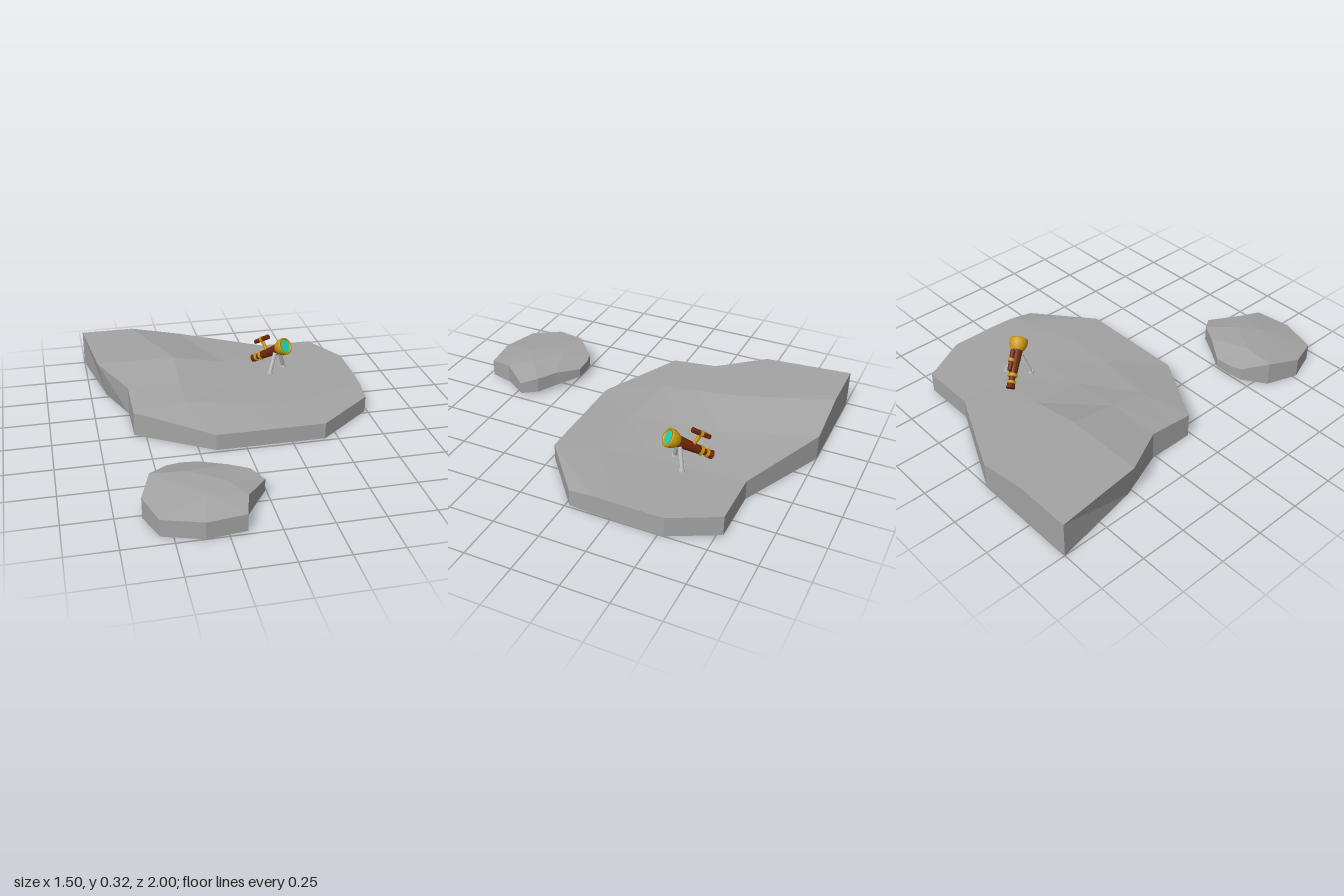
import * as THREE from 'three';

const mat = (name, color) => {
  const m = new THREE.MeshStandardMaterial({ color });
  m.name = name;
  return m;
};

// Flat-faced mesh from a list of triangles, each three [x, y, z] corners
function facetMesh(name, tris, material) {
  const geo = new THREE.BufferGeometry();
  geo.setAttribute('position', new THREE.Float32BufferAttribute(tris.flat(2), 3));
  geo.computeVertexNormals();
  const mesh = new THREE.Mesh(geo, material);
  mesh.name = name;
  return mesh;
}

// Side walls and underside below a top outline (clockwise from above)
function wallsAndBase(top, base, centre) {
  const tris = [];
  top.forEach((a, i) => {
    const j = (i + 1) % top.length;
    tris.push([a, top[j], base[i]], [top[j], base[j], base[i]], [base[i], base[j], centre]);
  });
  return tris;
}

function largeRock(material) {
  // Rows of the sloping top, back to front, left column to right column
  const rows = [
    [[-0.75, 0.2, -1], [-0.45, 0.2, -1], [-0.16, 0.14, -1], [0.32, 0.11, -0.78], [0.62, 0.11, -0.78]],
    [[-0.7, 0.2, -0.53], [-0.26, 0.2, -0.53], [0.03, 0.14, -0.53], [0.33, 0.11, -0.53], [0.75, 0.11, -0.53]],
    [[-0.56, 0.16, -0.27], [-0.27, 0.16, -0.27], [0.03, 0.125, -0.27], [0.33, 0.11, -0.27], [0.75, 0.11, -0.27]],
    [[-0.56, 0.148, -0.15], [-0.27, 0.14, -0.08], [0.06, 0.115, -0.02], [0.4, 0.11, -0.02], [0.745, 0.108, -0.15]],
    [[-0.56, 0.135, -0.02], [-0.16, 0.09, 0.23], [0.13, 0.09, 0.23], [0.43, 0.09, 0.23], [0.735, 0.09, -0.02]],
  ];
  const tris = [];
  for (let r = 0; r < 4; r++) {
    for (let c = 0; c < 4; c++) {
      const a = rows[r][c], b = rows[r][c + 1], d = rows[r + 1][c], e = rows[r + 1][c + 1];
      tris.push([a, d, b], [b, d, e]);
    }
  }
  const outline = [
    ...rows[0],
    ...[1, 2, 3].map((r) => rows[r][4]),
    ...[...rows[4]].reverse(),
    ...[3, 2, 1].map((r) => rows[r][0]),
  ];
  const base = outline.map(([x, , z]) => [x === -0.7 ? -0.66 : x, 0, z]);
  tris.push(...wallsAndBase(outline, base, [0, 0, -0.35]));
  return facetMesh('largeRock', tris, material);
}

function smallRock(material) {
  const top = [
    [-0.46, 0.1, 0.49], [-0.39, 0.095, 0.47], [-0.3, 0.09, 0.47], [-0.17, 0.11, 0.56],
    [-0.07, 0.11, 0.62], [-0.015, 0.09, 0.7], [-0.13, 0.11, 0.85], [-0.16, 0.09, 0.975],
    [-0.36, 0.09, 1], [-0.56, 0.09, 0.935], [-0.62, 0.11, 0.77], [-0.56, 0.133, 0.6],
  ];
  const baseY = [0.03, 0.04, 0.04, 0.03, 0.025, 0.025, 0, 0, 0, 0, 0, 0];
  const base = top.map(([x, , z], i) => [x, baseY[i], z]);
  // Three crown points, each fanned to its stretch of the rim
  const A = [-0.39, 0.135, 0.62], B = [-0.21, 0.13, 0.73], C = [-0.32, 0.125, 0.82];
  const owner = [A, A, A, B, B, B, C, C, C, C, C, A];
  const tris = top.map((p, i) => [top[(i + 1) % 12], p, owner[i]]);
  tris.push([A, B, top[3]], [B, C, top[6]], [C, A, top[11]], [A, C, B]);
  tris.push(...wallsAndBase(top, base, [-0.35, 0, 0.75]));
  return facetMesh('smallRock', tris, material);
}

// Tapered cylinder between two points
function strut(name, from, to, rFrom, rTo, material) {
  const a = new THREE.Vector3(...from), b = new THREE.Vector3(...to);
  const dir = b.clone().sub(a);
  const mesh = new THREE.Mesh(new THREE.CylinderGeometry(rTo, rFrom, dir.length(), 12), material);
  mesh.position.copy(a).add(b).multiplyScalar(0.5);
  mesh.quaternion.setFromUnitVectors(new THREE.Vector3(0, 1, 0), dir.normalize());
  mesh.name = name;
  return mesh;
}

function telescope(wood, brass, glass) {
  const g = new THREE.Group();
  g.name = 'telescope';
  const along = (name, z0, z1, r0, r1, m, y = 0) =>
    g.add(strut(name, [0, y, z0], [0, y, z1], r0, r1, m));

  // Flared brass hood with a recessed lens
  const hood = [[0.028, -0.066], [0.04, -0.05], [0.048, -0.03], [0.05, -0.008], [0.048, 0], [0.039, 0], [0.037, -0.012]];
  const bell = new THREE.LatheGeometry(hood.map(([r, y]) => new THREE.Vector2(r, y)), 20);
  bell.rotateX(Math.PI / 2);
  const hoodMesh = new THREE.Mesh(bell, brass);
  hoodMesh.name = 'lensHood';
  g.add(hoodMesh);
  along('lens', -0.014, -0.008, 0.038, 0.038, glass);

  // Main barrel, bands and eyepiece
  along('barrel', -0.2, -0.055, 0.022, 0.031, wood);
  along('rearBand', -0.212, -0.196, 0.026, 0.026, brass);
  along('drawTube', -0.24, -0.21, 0.017, 0.017, wood);
  along('eyepieceBand', -0.25, -0.236, 0.023, 0.023, brass);
  along('eyepiece', -0.275, -0.25, 0.024, 0.02, wood);

  // Finder scope on its post
  g.add(strut('finderPost', [0, 0.015, -0.15], [0, 0.085, -0.15], 0.01, 0.01, brass));
  along('finder', -0.205, -0.095, 0.012, 0.014, wood, 0.086);
  along('finderBand', -0.158, -0.142, 0.017, 0.017, brass, 0.086);

  g.position.set(0.365, 0.28, -0.375);
  g.lookAt(0.365 + 0.53, 0.28 + 0.53, -0.375 + 0.66);
  return g;
}

function bipod(metal) {
  const g = new THREE.Group();
  g.name = 'bipod';
  for (const s of [-1, 1]) {
    const x = 0.326 + s * 0.051, z = -0.42 - s * 0.041;
    g.add(strut('leg', [x, 0.115, z], [0.326 + s * 0.014, 0.228, -0.42 - s * 0.011], 0.011, 0.012, metal));
    g.add(strut('foot', [x, 0.108, z], [x, 0.122, z], 0.017, 0.014, metal));
  }
  return g;
}

export function createModel() {
  const stone = mat('stone', 0xa4a4a4);
  const wood = mat('redWood', 0x6e2609);
  const brass = mat('brass', 0xc8980c);
  const glass = mat('lensGlass', 0x1fd3b4);
  const metal = mat('paleMetal', 0xbdbdbd);

  const model = new THREE.Group();
  model.name = 'lookoutRocks';
  model.add(largeRock(stone), smallRock(stone), telescope(wood, brass, glass), bipod(metal));
  return model;
}
